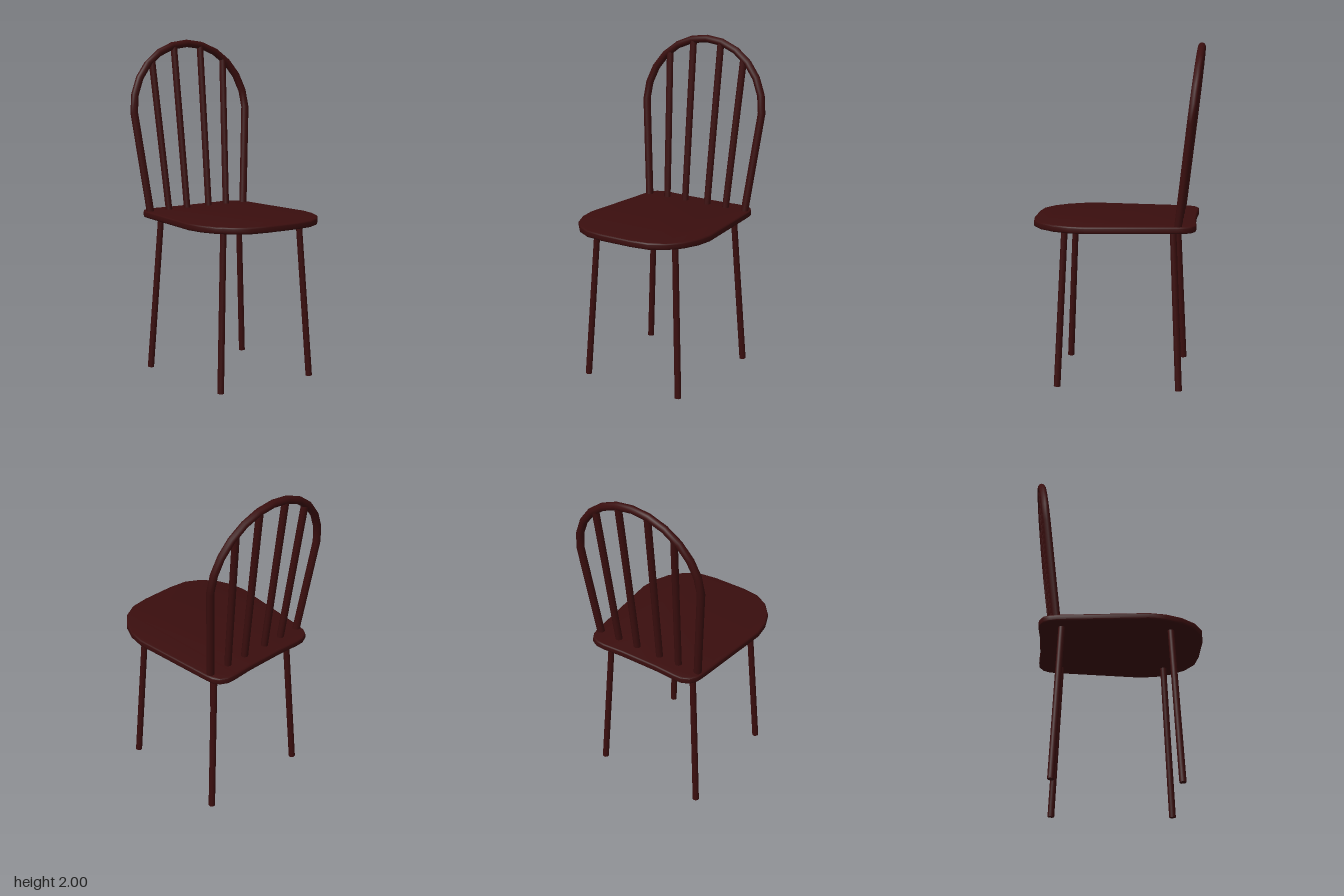
import * as THREE from 'three';
import { toCreasedNormals } from 'three/addons/utils/BufferGeometryUtils.js';

const V = (x, y, z) => new THREE.Vector3(x, y, z);

// Depth of the leaning back plane at a given height
const backZ = (y) => -0.362 - 0.115 * (y - 0.96);

const ARC_Y = 1.572, ARC_R = 0.412, ARC_STEPS = 12, FOOT_X = 0.345, FOOT_Y = 0.95;

// Two straight posts joined by a half-circle arch
class HoopCurve extends THREE.Curve {
  getPoint(t, target = V(0, 0, 0)) {
    const s = t * (ARC_STEPS + 2);
    let x, y;
    if (s < 1 || s > ARC_STEPS + 1) {
      const k = s < 1 ? s : ARC_STEPS + 2 - s;
      x = (s < 1 ? 1 : -1) * THREE.MathUtils.lerp(FOOT_X, ARC_R, k);
      y = THREE.MathUtils.lerp(FOOT_Y, ARC_Y, k);
    } else {
      const a = ((s - 1) / ARC_STEPS) * Math.PI;
      x = ARC_R * Math.cos(a);
      y = ARC_Y + (ARC_R - 0.006) * Math.sin(a);
    }
    return target.set(x, y, backZ(y));
  }
  getPointAt(u, target) { return this.getPoint(u, target); }
  getTangentAt(u, target) { return this.getTangent(u, target); }
}

// Round rod between two points
function rod(name, a, b, rA, rB, material) {
  const geometry = new THREE.CylinderGeometry(rB, rA, a.distanceTo(b), 10);
  const mesh = new THREE.Mesh(geometry, material);
  mesh.name = name;
  mesh.position.copy(a).add(b).multiplyScalar(0.5);
  mesh.quaternion.setFromUnitVectors(V(0, 1, 0), b.clone().sub(a).normalize());
  return mesh;
}

export function createModel() {
  const group = new THREE.Group();
  group.name = 'chair';
  const wood = new THREE.MeshStandardMaterial({ color: 0x3a0e0e });
  wood.name = 'dark red wood';

  // Seat: wide rounded front, tapering to a slightly hollow back edge
  const half = [
    [0.10, 0.492], [0.21, 0.478], [0.295, 0.43], [0.362, 0.352], [0.402, 0.26], [0.417, 0.162],
    [0.37, -0.36], [0.362, -0.40], [0.34, -0.435], [0.30, -0.455], [0.25, -0.457], [0.12, -0.449],
  ];
  const outline = [...half, ...half.map(([x, z]) => [-x, z]).reverse()];
  const shape = new THREE.Shape(outline.map(([x, z]) => new THREE.Vector2(x, -z)));
  const seatGeometry = new THREE.ExtrudeGeometry(shape, {
    depth: 0.02, bevelThickness: 0.01, bevelSize: 0.009, bevelSegments: 3,
  });
  seatGeometry.rotateX(-Math.PI / 2);
  const seat = new THREE.Mesh(toCreasedNormals(seatGeometry, 0.6), wood);
  seat.name = 'seat';
  seat.position.y = 0.945;
  group.add(seat);

  // Back hoop
  const hoop = new THREE.Mesh(
    new THREE.TubeGeometry(new HoopCurve(), ARC_STEPS + 2, 0.023, 10), wood);
  hoop.name = 'backHoop';
  group.add(hoop);

  for (const side of [-1, 1]) {
    const label = side > 0 ? 'left' : 'right';

    // Spindles fan out from the seat to the hoop
    [[0.08, 0.097], [0.212, 0.262]].forEach(([x0, x1], i) => {
      const top = ARC_Y + Math.sqrt(ARC_R ** 2 - x1 ** 2) - 0.006;
      group.add(rod(`${label}Spindle${i + 1}`,
        V(side * x0, FOOT_Y, backZ(FOOT_Y)), V(side * x1, top, backZ(top)), 0.021, 0.021, wood));
    });

    // Splayed legs
    group.add(rod(`${label}FrontLeg`,
      V(side * 0.325, 0.001, 0.343), V(side * 0.273, 0.95, 0.298), 0.02, 0.019, wood));
    group.add(rod(`${label}BackLeg`,
      V(side * 0.348, 0.001, -0.374), V(side * 0.29, 0.95, -0.332), 0.02, 0.019, wood));
  }
  return group;
}
